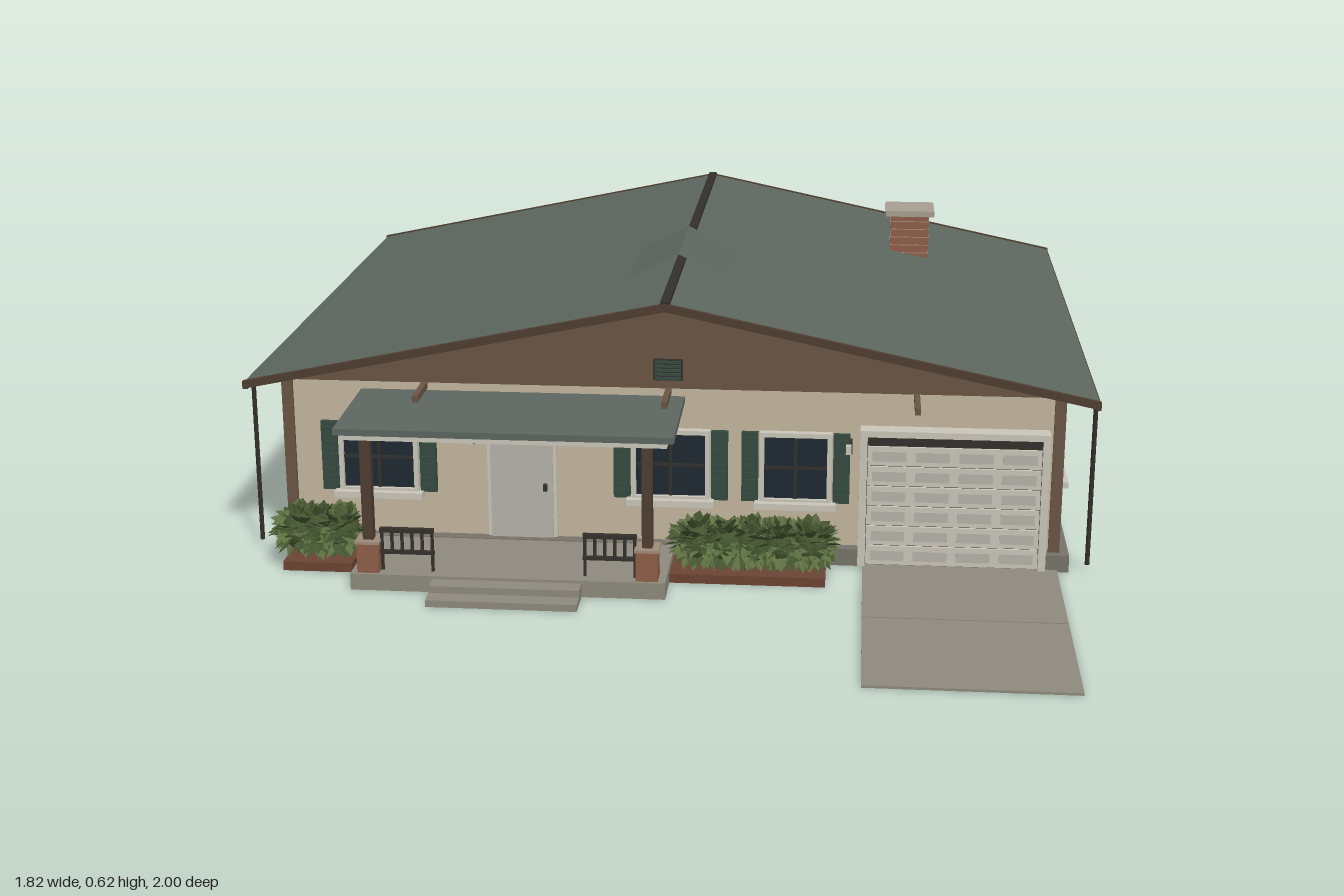
import * as THREE from 'three';

const mat = (color) => new THREE.MeshStandardMaterial({ color, side: THREE.DoubleSide });
const M = {
  wall: mat(0xc2b59c), roof: mat(0x5c665f), dark: mat(0x33302b), brown: mat(0x6a5545), wood: mat(0x4f3d30),
  brick: mat(0x8f5e47), mortar: mat(0xa08a78), concrete: mat(0x8d897d), footing: mat(0x77736a), trim: mat(0xc9c5b8),
  glass: mat(0x1d2930), shutter: mat(0x34493f), door: mat(0xb4b2aa), leaf: mat(0x5d6f40), leafDark: mat(0x43542f),
  cap: mat(0xa79f90), soil: mat(0x6b4433),
};

// Box given by its extents on each axis
function box(parent, name, m, x0, x1, y0, y1, z0, z1) {
  const b = new THREE.Mesh(new THREE.BoxGeometry(x1 - x0, y1 - y0, z1 - z0), M[m]);
  b.position.set((x0 + x1) / 2, (y0 + y1) / 2, (z0 + z1) / 2);
  b.name = name;
  parent.add(b);
  return b;
}

// Outline in x/y extruded from z0 to z1
function prism(parent, name, m, pts, z0, z1) {
  const shape = new THREE.Shape(pts.map(([x, y]) => new THREE.Vector2(x, y)));
  const p = new THREE.Mesh(new THREE.ExtrudeGeometry(shape, { depth: z1 - z0, bevelEnabled: false }), M[m]);
  p.position.z = z0;
  p.name = name;
  parent.add(p);
}

function group(parent, name, x = 0, y = 0, z = 0) {
  const g = new THREE.Group();
  g.name = name;
  g.position.set(x, y, z);
  parent.add(g);
  return g;
}

// Framed four-pane window facing +z, origin at centre of the wall opening
function windowUnit(parent, w, h, shutters) {
  const g = group(parent, 'window');
  const x = w / 2, y = h / 2, t = 0.01;
  box(g, 'glass', 'glass', -x, x, -y, y, -0.005, 0.008);
  for (const s of [-1, 1]) {
    box(g, 'frameSide', 'trim', s * x - t / 2, s * x + t / 2, -y, y, 0, 0.018);
    box(g, 'frameRail', 'trim', -x - t / 2, x + t / 2, s * y - t / 2, s * y + t / 2, 0, 0.018);
  }
  box(g, 'mullion', 'dark', -0.003, 0.003, -y, y, 0, 0.012);
  box(g, 'crossbar', 'dark', -x, x, -0.003, 0.003, 0, 0.012);
  box(g, 'sill', 'trim', -x - 0.015, x + 0.015, -y - 0.014, -y, 0, 0.035);
  if (shutters) for (const s of [-1, 1]) {
    const c = s * (x + 0.026);
    box(g, 'shutter', 'shutter', c - 0.018, c + 0.018, -y - 0.003, y + 0.003, 0, 0.012);
    for (let i = 0; i < 9; i++) {
      const ly = -y + 0.012 + (i * (h - 0.024)) / 8;
      box(g, 'louver', 'shutter', c - 0.013, c + 0.013, ly - 0.004, ly + 0.004, 0.01, 0.016);
    }
  }
  return g;
}

// Bush of folded leaves pointing outward from its middle
let seed = 7;
const rnd = () => (seed = (seed * 16807) % 2147483647) / 2147483647;
function bush(parent, x, z) {
  const g = group(parent, 'bush', x, 0.078, z);
  for (const m of ['leaf', 'leafDark']) {
    const pos = [];
    for (let i = 0; i < 75; i++) {
      const a = rnd() * Math.PI * 2, u = rnd() * 2 - 1, r = Math.sqrt(1 - u * u);
      const d = new THREE.Vector3(r * Math.cos(a), u, r * Math.sin(a));
      const side = new THREE.Vector3(-Math.sin(a), rnd() - 0.5, Math.cos(a)).multiplyScalar(0.013);
      const base = d.clone().multiplyScalar(0.024 + rnd() * 0.014);
      const tip = d.clone().multiplyScalar(0.062 + rnd() * 0.014);
      const mid = base.clone().lerp(tip, 0.5);
      mid.y += 0.006;
      const l = mid.clone().add(side), q = mid.clone().sub(side);
      for (const p of [base, l, tip, base, tip, q]) pos.push(p.x, Math.max(p.y * 0.9, -0.06), p.z);
    }
    const geo = new THREE.BufferGeometry();
    geo.setAttribute('position', new THREE.Float32BufferAttribute(pos, 3));
    geo.computeVertexNormals();
    const leaves = new THREE.Mesh(geo, M[m]);
    leaves.name = 'leaves';
    g.add(leaves);
  }
  const core = new THREE.Mesh(new THREE.IcosahedronGeometry(0.042, 1), M.leafDark);
  core.name = 'bushCore';
  g.add(core);
}

export function createModel() {
  const house = new THREE.Group();
  house.name = 'house';
  const F = 0.355, B = -0.892; // front and back wall planes

  // Shell
  box(house, 'foundation', 'footing', -0.865, 0.865, 0, 0.038, B - 0.027, F + 0.025);
  box(house, 'walls', 'wall', -0.84, 0.84, 0.038, 0.39, B, F);
  prism(house, 'gable', 'brown', [[-0.84, 0.385], [0.84, 0.385], [0.84, 0.395], [0, 0.576], [-0.84, 0.395]], B - 0.004, F + 0.004);
  for (const s of [-1, 1]) box(house, 'cornerBoard', 'brown', s * 0.833 - 0.012, s * 0.833 + 0.012, 0.038, 0.395, F - 0.012, F + 0.008);

  // Main roof with soffit, bargeboards and ridge
  const chevron = (w, e, r, t) => [[-w, e], [0, r], [w, e], [w, e - t], [0, r - t], [-w, e - t]];
  prism(house, 'roof', 'roof', chevron(0.905, 0.4, 0.59, 0.012), -0.972, 0.436);
  prism(house, 'soffit', 'trim', chevron(0.895, 0.39, 0.579, 0.005), -0.965, 0.428);
  for (const z of [-0.978, 0.43]) prism(house, 'bargeboard', 'wood', chevron(0.908, 0.402, 0.592, 0.017), z, z + 0.01);
  for (const s of [-1, 1]) box(house, 'eaveFascia', 'wood', s * 0.903 - 0.005, s * 0.903 + 0.005, 0.383, 0.397, -0.97, 0.435);
  box(house, 'ridgeCap', 'dark', -0.01, 0.01, 0.582, 0.595, -0.975, 0.437);
  for (const s of [-1, 1]) {
    const p = new THREE.Mesh(new THREE.PlaneGeometry(Math.hypot(0.132, 0.065), 0.29).rotateX(-Math.PI / 2), M.roof);
    p.rotation.z = -s * Math.atan2(0.065, 0.132);
    p.position.set(s * 0.066, 0.589, -0.035);
    p.name = 'raisedRidgePanel';
    house.add(p);
  }
  for (const x of [-0.53, 0, 0.53]) box(house, 'roofBeam', 'brown', x - 0.006, x + 0.006, 0.371, 0.386, -1.0, 0.462);

  // Gable vent
  const vent = group(house, 'gableVent', 0, 0.428, F + 0.004);
  box(vent, 'ventPanel', 'dark', -0.032, 0.032, -0.023, 0.023, 0, 0.008);
  for (let i = 0; i < 5; i++) box(vent, 'ventLouver', 'shutter', -0.028, 0.028, -0.02 + i * 0.009, -0.015 + i * 0.009, 0.006, 0.014);

  // Chimney with mortar courses
  box(house, 'chimney', 'brick', 0.478, 0.572, 0.44, 0.58, -0.635, -0.54);
  for (let i = 0; i < 6; i++) box(house, 'mortarCourse', 'mortar', 0.477, 0.573, 0.462 + i * 0.02, 0.464 + i * 0.02, -0.636, -0.539);
  box(house, 'chimneyCap', 'cap', 0.465, 0.585, 0.577, 0.591, -0.646, -0.53);

  // Downspouts
  for (const s of [-1, 1]) for (const z of [F + 0.012, B + 0.01]) {
    const path = new THREE.CatmullRomCurve3([[0.905, 0.39], [0.905, 0.2], [0.905, 0.04], [0.905, 0.015]]
      .map(([x, y]) => new THREE.Vector3(s * x, y, z)));
    const d = new THREE.Mesh(new THREE.TubeGeometry(path, 6, 0.005, 8), M.dark);
    d.name = 'downspout';
    house.add(d);
  }

  // Windows
  for (const [x, w] of [[-0.635, 0.165], [0.005, 0.16], [0.275, 0.145]]) windowUnit(house, w, 0.15, true).position.set(x, 0.215, F);
  for (const s of [-1, 1]) for (const z of [0.095, -0.54]) {
    const w = windowUnit(house, 0.17, 0.15, false);
    w.position.set(s * 0.84, 0.215, z);
    w.rotation.y = (s * Math.PI) / 2;
  }

  // Front door and wall lamps
  box(house, 'doorFrame', 'trim', -0.396, -0.244, 0.04, 0.287, F, F + 0.01);
  box(house, 'frontDoor', 'door', -0.388, -0.252, 0.04, 0.28, F, F + 0.016);
  box(house, 'doorHandle', 'dark', -0.272, -0.264, 0.15, 0.165, F + 0.014, F + 0.026);
  for (const x of [-0.43, 0.388]) {
    box(house, 'lampBracket', 'dark', x - 0.008, x + 0.008, 0.25, 0.282, F, F + 0.012);
    box(house, 'lampGlass', 'trim', x - 0.006, x + 0.006, 0.253, 0.272, F + 0.01, F + 0.025);
  }

  // Garage door
  const garage = group(house, 'garageDoor', 0.613, 0, F + 0.025);
  for (const s of [-1, 1]) box(garage, 'jamb', 'trim', s * 0.193 - 0.008, s * 0.193 + 0.008, 0.005, 0.31, -0.03, 0.012);
  box(garage, 'header', 'trim', -0.2, 0.2, 0.298, 0.312, -0.03, 0.014);
  box(garage, 'backing', 'dark', -0.186, 0.186, 0.005, 0.3, -0.03, 0);
  for (let i = 0; i < 6; i++) {
    box(garage, 'panel', 'trim', -0.184, 0.184, 0.008 + i * 0.045, 0.05 + i * 0.045, -0.01, 0.006);
    for (let j = 0; j < 4; j++) {
      const x = -0.138 + j * 0.092;
      box(garage, 'panelInset', 'door', x - 0.036, x + 0.036, 0.018 + i * 0.045, 0.04 + i * 0.045, 0, 0.009);
    }
  }

  // Driveway in two slabs
  box(house, 'driveway', 'concrete', 0.423, 0.84, 0, 0.005, 0.36, 0.67);
  box(house, 'driveway', 'concrete', 0.423, 0.84, 0, 0.005, 0.674, 1.0);

  // Porch floor and steps
  box(house, 'porchFloor', 'concrete', -0.65, 0.015, 0, 0.036, F, 0.605);
  box(house, 'upperStep', 'concrete', -0.475, -0.16, 0, 0.03, 0.6, 0.645);
  box(house, 'lowerStep', 'concrete', -0.475, -0.16, 0, 0.015, 0.645, 0.685);

  // Porch roof, fascia and posts on brick piers
  const porchRoof = box(house, 'porchRoof', 'roof', -0.67, 0.035, 0.349, 0.363, F, 0.618);
  porchRoof.rotation.x = 0.03;
  box(house, 'porchBeam', 'trim', -0.655, 0.02, 0.333, 0.349, 0.565, 0.61);
  for (const x of [-0.65, 0.015]) box(house, 'porchSideBeam', 'trim', x - 0.006, x + 0.006, 0.335, 0.351, F, 0.6);
  for (const x of [-0.613, -0.024]) {
    box(house, 'porchPost', 'wood', x - 0.011, x + 0.011, 0.1, 0.335, 0.564, 0.586);
    box(house, 'brickPier', 'brick', x - 0.023, x + 0.023, 0.025, 0.1, 0.552, 0.598);
    box(house, 'pierCap', 'mortar', x - 0.026, x + 0.026, 0.1, 0.106, 0.549, 0.601);
  }

  // Porch railings
  for (const [a, b] of [[-0.59, -0.475], [-0.16, -0.047]]) {
    const rail = group(house, 'railing', 0, 0, 0.575);
    box(rail, 'topRail', 'dark', a, b, 0.121, 0.13, -0.006, 0.006);
    box(rail, 'bottomRail', 'dark', a, b, 0.073, 0.08, -0.005, 0.005);
    for (let i = 0; i < 6; i++) {
      const x = a + 0.004 + (i * (b - a - 0.008)) / 5;
      const y0 = i === 0 || i === 5 ? 0.036 : 0.075;
      box(rail, 'baluster', 'dark', x - 0.003, x + 0.003, y0, 0.125, -0.003, 0.003);
    }
  }

  // Planting beds
  box(house, 'plantingBed', 'soil', -0.82, -0.67, 0, 0.02, 0.38, 0.51);
  box(house, 'plantingBed', 'soil', 0.015, 0.345, 0, 0.02, 0.38, 0.51);
  for (const x of [-0.79, -0.745, -0.7, 0.07, 0.13, 0.19, 0.25, 0.31]) bush(house, x, 0.465);

  return house;
}
